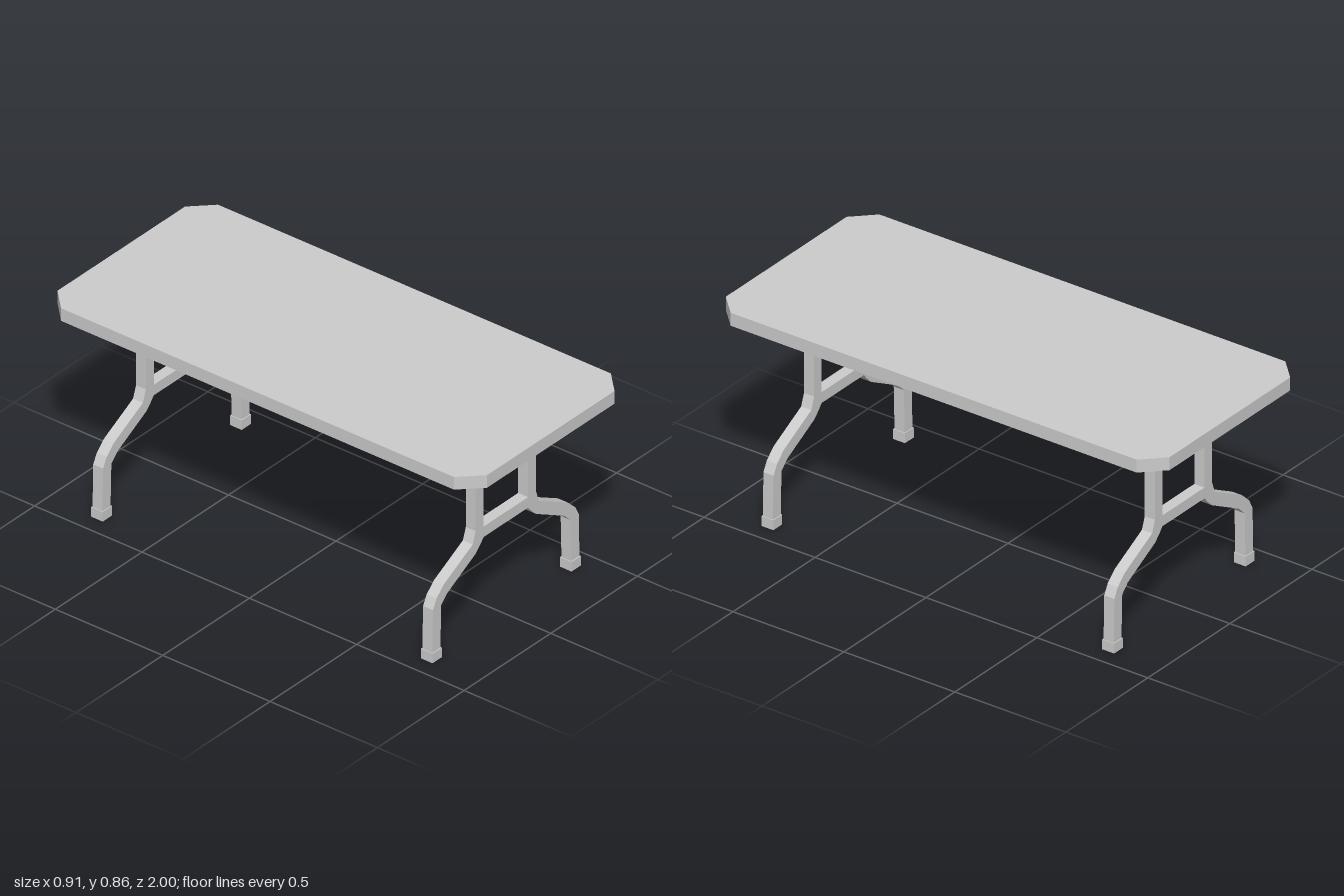
import * as THREE from 'three';

const material = new THREE.MeshStandardMaterial({ color: 0xcccccc, flatShading: true });

// Extrudes a polygon drawn in x/y, centred on z = 0
function prism(points, depth) {
  const shape = new THREE.Shape(points.map(([x, y]) => new THREE.Vector2(x, y)));
  const geometry = new THREE.ExtrudeGeometry(shape, { depth, bevelEnabled: false });
  return geometry.translate(0, 0, -depth / 2);
}

function addPart(parent, name, geometry, x = 0, y = 0, z = 0) {
  const mesh = new THREE.Mesh(geometry, material);
  mesh.name = name;
  mesh.position.set(x, y, z);
  parent.add(mesh);
}

// Outline of one bent leg tube: down the outer edge, back up the inner edge
const LEG = [
  [0.174, 0.803], [0.174, 0.44], [0.191, 0.391], [0.358, 0.302], [0.4, 0.262], [0.421, 0.222], [0.425, 0.03],
  [0.378, 0.03], [0.373, 0.22], [0.338, 0.255], [0.173, 0.344], [0.146, 0.371], [0.128, 0.393], [0.128, 0.803],
];
const TUBE = 0.046;

function createLegFrame() {
  const frame = new THREE.Group();
  for (const [side, s] of [['left', 1], ['right', -1]]) {
    addPart(frame, side + 'Leg', prism(LEG.map(([x, y]) => [s * x, y]), TUBE));
    addPart(frame, side + 'Foot', new THREE.BoxGeometry(0.054, 0.041, 0.054), s * 0.401, 0.0205);
  }
  addPart(frame, 'crossbar', new THREE.BoxGeometry(0.258, 0.045, TUBE), 0, 0.415);
  return frame;
}

export function createModel() {
  const table = new THREE.Group();
  table.name = 'foldingTable';

  // Tabletop with cut corners
  const w = 0.453, l = 1, cx = 0.368, cz = 0.915;
  const outline = [[cx, -l], [w, -cz], [w, cz], [cx, l], [-cx, l], [-w, cz], [-w, -cz], [-cx, -l]];
  const top = prism(outline, 0.054).rotateX(-Math.PI / 2);
  addPart(table, 'tabletop', top, 0, 0.83, 0);

  // A leg frame near each end
  for (const [name, z] of [['frontLegFrame', 0.768], ['backLegFrame', -0.768]]) {
    const frame = createLegFrame();
    frame.name = name;
    frame.position.z = z;
    table.add(frame);
  }
  return table;
}
